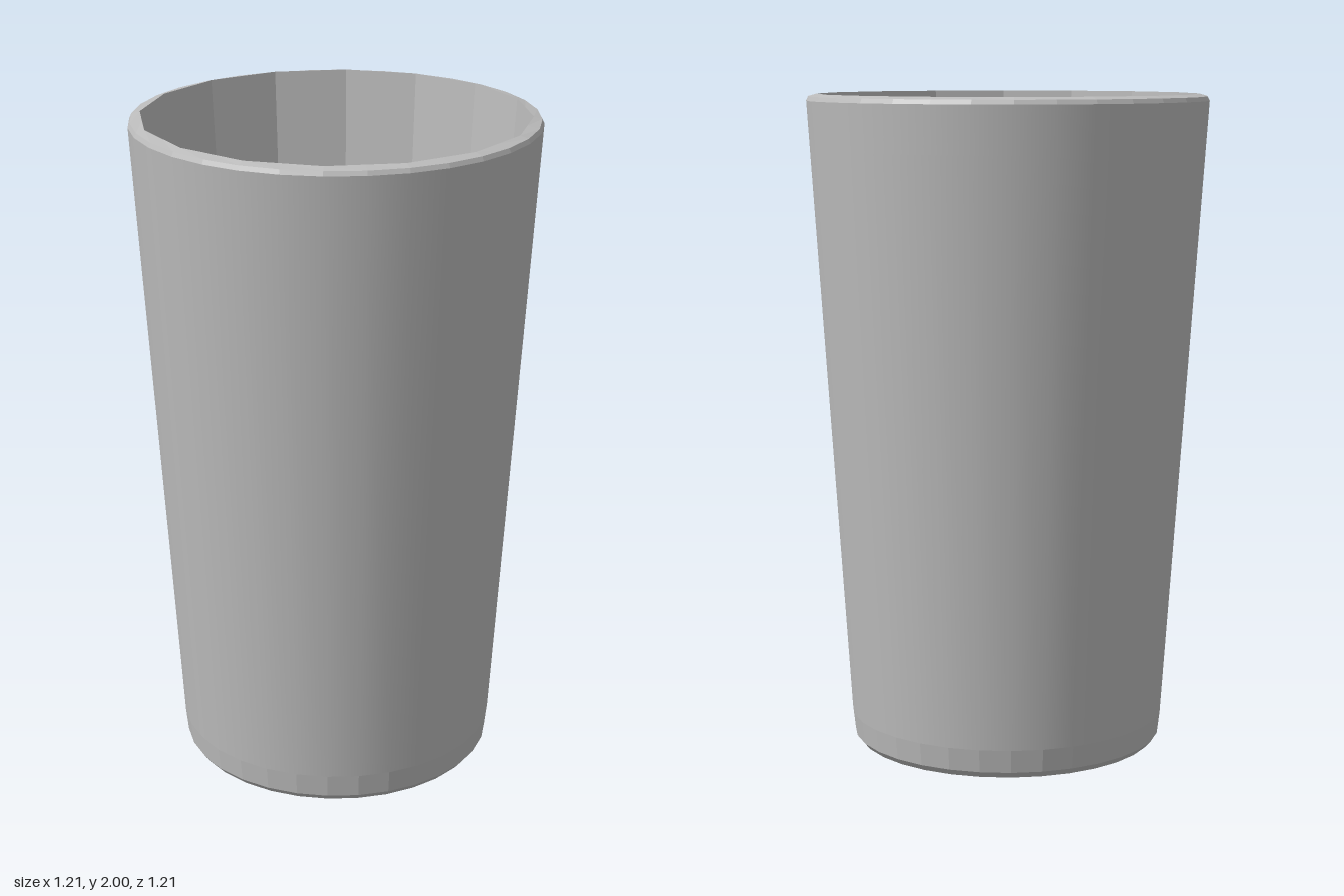
import * as THREE from 'three';

const OUTER_SIDES = 32;
const INNER_SIDES = 16;

// The foot sits slightly off the axis of the rim, so the cup leans a little.
function lean(geometry) {
  const p = geometry.attributes.position;
  for (let i = 0; i < p.count; i++) {
    const t = 1 - p.getY(i) / 2;
    p.setX(i, p.getX(i) - 0.025 * t);
    p.setZ(i, p.getZ(i) + 0.03 * t);
  }
  return geometry;
}

function turned(profile, sides) {
  return new THREE.LatheGeometry(profile.map(([r, y]) => new THREE.Vector2(r, y)), sides);
}

// Split the faces so that each one is shaded flat.
function faceted(geometry) {
  const flat = geometry.toNonIndexed();
  flat.computeVertexNormals();
  return flat;
}

export function createModel() {
  const cup = new THREE.Group();
  cup.name = 'cup';
  const grey = new THREE.MeshStandardMaterial({ color: 0xbcbcbc });
  grey.name = 'grey';

  function add(name, geometry) {
    const mesh = new THREE.Mesh(geometry, grey);
    mesh.name = name;
    cup.add(mesh);
  }

  // Smooth tapering outside
  add('outerWall', lean(turned([[0.485, 0.09], [0.597, 1.84], [0.606, 1.98]], OUTER_SIDES)));

  // Bevelled foot and flat underside
  add('foot', faceted(lean(turned([[0.46, 0], [0.477, 0.02], [0.485, 0.09]], OUTER_SIDES))));
  add('underside', faceted(lean(turned([[0, 0], [0.46, 0]], OUTER_SIDES))));

  // Rim: pull every second inner corner onto the straight edges of the inside
  const rim = turned([[0.606, 1.98], [0.6, 1.993], [0.575, 2]], OUTER_SIDES);
  const p = rim.attributes.position;
  const chord = Math.cos(Math.PI / INNER_SIDES);
  for (let i = 1; i <= OUTER_SIDES; i += 2) {
    const k = i * 3 + 2;
    p.setX(k, p.getX(k) * chord);
    p.setZ(k, p.getZ(k) * chord);
  }
  add('rim', faceted(lean(rim)));

  // Flat-sided inside and floor
  add('innerWall', faceted(lean(turned([[0.575, 2], [0.442, 0.1]], INNER_SIDES))));
  add('floor', faceted(lean(turned([[0.442, 0.1], [0, 0.1]], INNER_SIDES))));

  return cup;
}
